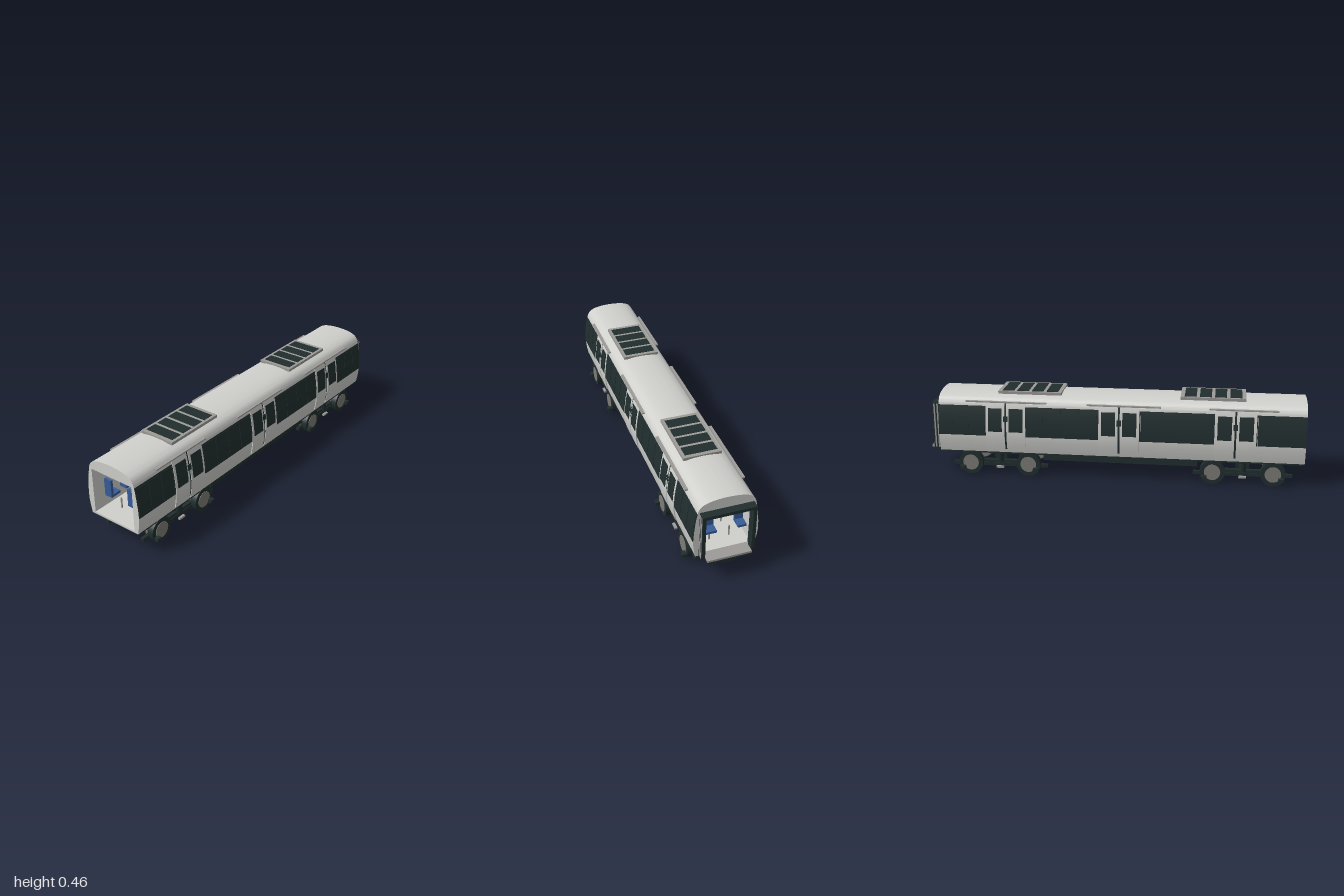
import * as THREE from 'three';
import { toCreasedNormals } from 'three/addons/utils/BufferGeometryUtils.js';

const mat = (name, color) => {
  const m = new THREE.MeshStandardMaterial({ color });
  m.name = name;
  return m;
};

// Half cross-section of the body as (z, y), from sill to roof crown
const PROFILE = new THREE.CatmullRomCurve3([
  [0.148, 0.131], [0.154, 0.16], [0.161, 0.215], [0.16, 0.26], [0.154, 0.32], [0.145, 0.375],
  [0.138, 0.402], [0.122, 0.424], [0.095, 0.438], [0.05, 0.447], [0, 0.45],
].map(([z, y]) => new THREE.Vector3(z, y, 0))).getPoints(40);

function zAt(y) {
  for (let i = 1; i < PROFILE.length; i++) {
    const a = PROFILE[i - 1], b = PROFILE[i];
    if (y <= b.y) return a.x + (b.x - a.x) * Math.max(0, (y - a.y) / (b.y - a.y));
  }
  return 0;
}

export function createModel() {
  const model = new THREE.Group();
  model.name = 'railCar';
  const silver = mat('silver body', 0xcfcfcc);
  const dark = mat('dark green black', 0x212e2e);
  const grey = mat('steel grey', 0x9c9b98);
  const hubGrey = mat('wheel grey', 0x7e7c77);
  const blue = mat('seat blue', 0x375c98);

  const add = (name, geo, m, parent = model) => {
    const mesh = new THREE.Mesh(geo, m);
    mesh.name = name;
    parent.add(mesh);
    return mesh;
  };
  // Box given by its limits on each axis
  const box = (name, m, x0, x1, y0, y1, z0, z1, parent) => {
    const b = add(name, new THREE.BoxGeometry(x1 - x0, y1 - y0, Math.abs(z1 - z0)), m, parent);
    b.position.set((x0 + x1) / 2, (y0 + y1) / 2, (z0 + z1) / 2);
    return b;
  };
  // Cylinder lying along z
  const discZ = (name, m, r, x, y, z0, z1, parent) => {
    const g = new THREE.CylinderGeometry(r, r, Math.abs(z1 - z0), 28).rotateX(Math.PI / 2);
    add(name, g, m, parent).position.set(x, y, (z0 + z1) / 2);
  };
  // Extrude a (-z, y) outline along x
  const alongX = (name, shape, m, x0, x1, parent) => {
    const g = new THREE.ExtrudeGeometry(shape, { depth: x1 - x0, bevelEnabled: false });
    g.rotateY(Math.PI / 2).translate(x0, 0, 0);
    return add(name, toCreasedNormals(g, 0.5), m, parent);
  };
  // Thin plate that follows the curved body side
  const sidePanel = (name, m, s, x0, x1, y0, y1, off, parent) => {
    const outer = [], inner = [], n = 12;
    for (let i = 0; i <= n; i++) {
      const y = y0 + (y1 - y0) * i / n;
      outer.push(new THREE.Vector2(-s * (zAt(y) + off), y));
      inner.unshift(new THREE.Vector2(-s * (zAt(y) - 0.001), y));
    }
    alongX(name, new THREE.Shape([...outer, ...inner]), m, x0, x1, parent);
  };
  const rectPts = (w, y0, y1) =>
    [[-w, y0], [w, y0], [w, y1], [-w, y1]].map(p => new THREE.Vector2(...p));

  // Hollow body shell and floor
  const outline = new THREE.Shape([
    ...PROFILE.map(p => new THREE.Vector2(p.x, p.y)),
    ...PROFILE.slice(0, -1).reverse().map(p => new THREE.Vector2(-p.x, p.y)),
  ]);
  outline.holes.push(new THREE.Path(rectPts(0.127, 0.142, 0.385)));
  alongX('bodyShell', outline, silver, -1, 0.94);
  box('underfloor', dark, -0.99, 0.935, 0.122, 0.132, -0.146, 0.146);
  box('equipmentBox', dark, -0.445, 0.38, 0.088, 0.125, -0.13, 0.13);

  // Sides: window bands, panes, doors, rails
  const doors = [-0.638, -0.031, 0.575];
  const bands = [[-1, -0.752], [-0.526, -0.145], [0.081, 0.464], [0.686, 0.94]];
  const rails = [[-0.855, -0.5], [-0.25, 0.14], [0.355, 0.79]];
  for (const s of [1, -1]) {
    for (const [a, b] of bands) {
      sidePanel('windowBand', dark, s, a, b, 0.225, 0.385, 0.002);
      const n = b - a > 0.3 ? 4 : 3, w = (b - a) / n;
      for (let i = 0; i < n; i++)
        sidePanel('windowPane', dark, s, a + i * w + 0.004, a + (i + 1) * w - 0.004, 0.232, 0.378, 0.004);
    }
    for (const d of doors) {
      const door = new THREE.Group();
      door.name = 'doorPair';
      model.add(door);
      for (const k of [1, -1]) {
        const c = d + k * 0.056;
        sidePanel('doorLeaf', silver, s, c - 0.051, c + 0.051, 0.142, 0.408, 0.005, door);
        sidePanel('doorWindow', dark, s, c - 0.037, c + 0.037, 0.25, 0.375, 0.007, door);
        sidePanel('doorEdge', dark, s, d + k * 0.11 - 0.002, d + k * 0.11 + 0.002, 0.225, 0.385, 0.003, door);
      }
      sidePanel('doorSeal', dark, s, d - 0.005, d + 0.005, 0.15, 0.4, 0.002, door);
      sidePanel('doorLatch', dark, s, d - 0.012, d + 0.012, 0.305, 0.335, 0.007, door);
    }
    for (const [a, b] of rails)
      box('doorRail', grey, a, b, 0.405, 0.412, s * 0.134, s * 0.149);
  }

  // Roof units with dark grilles
  for (const c of [-0.518, 0.452]) {
    const unit = new THREE.Group();
    unit.name = 'roofUnit';
    model.add(unit);
    box('roofUnitCase', grey, c - 0.17, c + 0.17, 0.442, 0.457, -0.098, 0.098, unit);
    for (let i = 0; i < 4; i++) {
      const x = c + (i - 1.5) * 0.079;
      box('roofGrille', dark, x - 0.031, x + 0.031, 0.45, 0.4585, -0.083, 0.083, unit);
    }
  }

  // Gangway at one end
  const gangway = new THREE.Group();
  gangway.name = 'gangway';
  model.add(gangway);
  const arch = new THREE.Shape(
    [[-0.132, 0.135], [-0.115, 0.135], [-0.115, 0.374], [0.115, 0.374], [0.115, 0.135],
      [0.132, 0.135], [0.132, 0.391], [-0.132, 0.391]].map(p => new THREE.Vector2(...p)));
  alongX('gangwayFrame', arch, dark, 0.935, 0.98, gangway);
  for (const s of [1, -1])
    for (const x of [0.952, 0.969])
      box('gangwayRib', grey, x - 0.004, x + 0.004, 0.14, 0.385, s * 0.131, s * 0.134, gangway);
  box('gangwayStep', dark, 0.925, 0.999, 0.12, 0.132, -0.11, 0.11, gangway);
  box('stepTread', grey, 0.935, 1, 0.132, 0.143, -0.11, 0.11, gangway);
  box('couplerBlock', dark, 0.925, 1, 0.11, 0.13, -0.038, 0.038, gangway);

  // Seats: wide on one side, narrow on the other
  const rows = [-0.9, -0.8, -0.43, -0.33, -0.23, 0.17, 0.27, 0.37, 0.76, 0.86];
  for (const x of rows) {
    for (const [z0, z1, leg] of [[0.024, 0.126, 0.05], [-0.126, -0.083, -0.05]]) {
      const seat = new THREE.Group();
      seat.name = 'seat';
      model.add(seat);
      box('seatBack', blue, x - 0.03, x - 0.016, 0.21, 0.295, z0, z1, seat);
      box('seatCushion', blue, x - 0.03, x + 0.03, 0.2, 0.213, z0, z1, seat);
      box('seatLeg', grey, x - 0.003, x + 0.003, 0.142, 0.2, leg - 0.003, leg + 0.003, seat);
    }
  }
  // Standing poles by the doors
  for (const d of doors) {
    const pole = add('pole', new THREE.CylinderGeometry(0.003, 0.003, 0.243, 10), grey);
    pole.position.set(d, 0.2635, 0);
  }

  // Bogies
  for (const c of [-0.683, 0.618]) {
    const bogie = new THREE.Group();
    bogie.name = 'bogie';
    model.add(bogie);
    box('bolster', dark, c - 0.035, c + 0.035, 0.085, 0.124, -0.115, 0.115, bogie);
    box('crossBeam', dark, c - 0.025, c + 0.025, 0.055, 0.09, -0.1, 0.1, bogie);
    for (const s of [1, -1]) {
      box('sideFrame', dark, c - 0.26, c + 0.26, 0.042, 0.06, s * 0.106, s * 0.124, bogie);
      box('frameTop', dark, c - 0.1, c + 0.1, 0.058, 0.075, s * 0.095, s * 0.12, bogie);
      const spring = add('spring', new THREE.CylinderGeometry(0.018, 0.018, 0.05, 16), dark, bogie);
      spring.position.set(c, 0.095, s * 0.118);
      box('shoeBar', grey, c - 0.02, c + 0.02, 0.036, 0.046, s * 0.128, s * 0.142, bogie);
    }
    for (const k of [1, -1]) {
      const x = c + k * 0.158;
      discZ('axle', hubGrey, 0.012, x, 0.066, -0.1, 0.1, bogie);
      for (const s of [1, -1]) {
        discZ('wheel', dark, 0.066, x, 0.066, s * 0.115, s * 0.149, bogie);
        discZ('wheelDisc', hubGrey, 0.057, x, 0.066, s * 0.093, s * 0.107, bogie);
        discZ('wheelHub', hubGrey, 0.043, x, 0.066, s * 0.107, s * 0.151, bogie);
        box('axleBox', dark, x - 0.022, x + 0.022, 0.053, 0.086, s * 0.096, s * 0.118, bogie);
        box('frameLug', dark, x + k * 0.042 - 0.014, x + k * 0.042 + 0.014, 0.031, 0.049, s * 0.12, s * 0.171, bogie);
      }
    }
  }
  return model;
}
